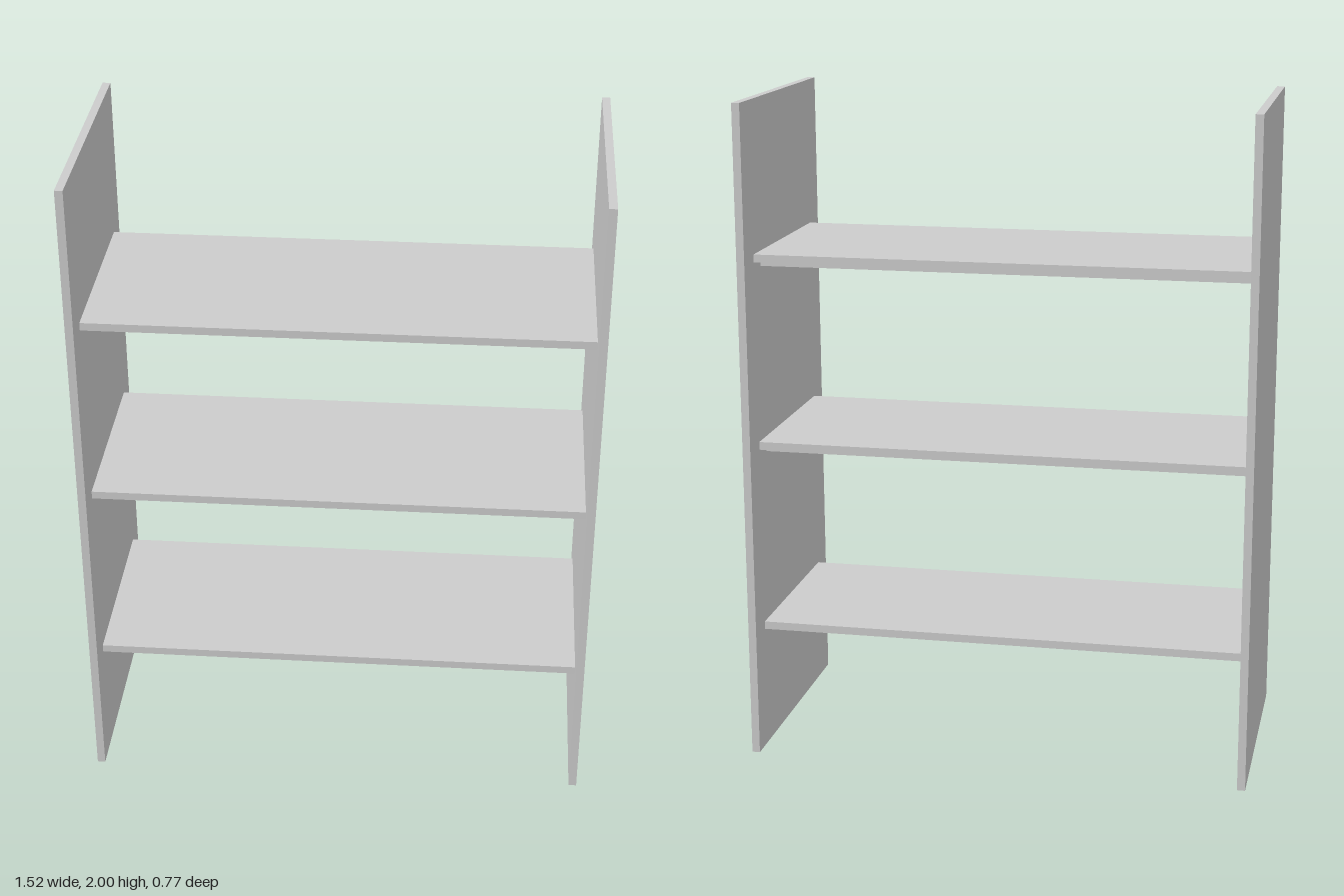
import * as THREE from 'three';

export function createModel() {
  const group = new THREE.Group();
  const material = new THREE.MeshStandardMaterial({ color: 0xcccccc, flatShading: true });

  const addBox = (parent, name, size, position) => {
    const mesh = new THREE.Mesh(new THREE.BoxGeometry(...size), material);
    mesh.name = name;
    mesh.position.set(...position);
    parent.add(mesh);
  };

  // Tall side panels
  for (const side of [-1, 1]) {
    addBox(group, side > 0 ? 'leftPanel' : 'rightPanel', [0.024, 2, 0.77], [side * 0.75, 1, 0]);
  }

  // Three shelves, each a board on a pair of support rails
  const width = 1.476;
  [0.397, 0.971, 1.545].forEach((top, i) => {
    const shelf = new THREE.Group();
    shelf.name = `shelf${i + 1}`;
    shelf.position.y = top;
    addBox(shelf, 'board', [width, 0.024, 0.592], [0, -0.012, 0]);
    for (const side of [-1, 1]) {
      addBox(shelf, side > 0 ? 'frontRail' : 'backRail', [width, 0.022, 0.04], [0, -0.035, side * 0.21]);
    }
    group.add(shelf);
  });

  return group;
}
